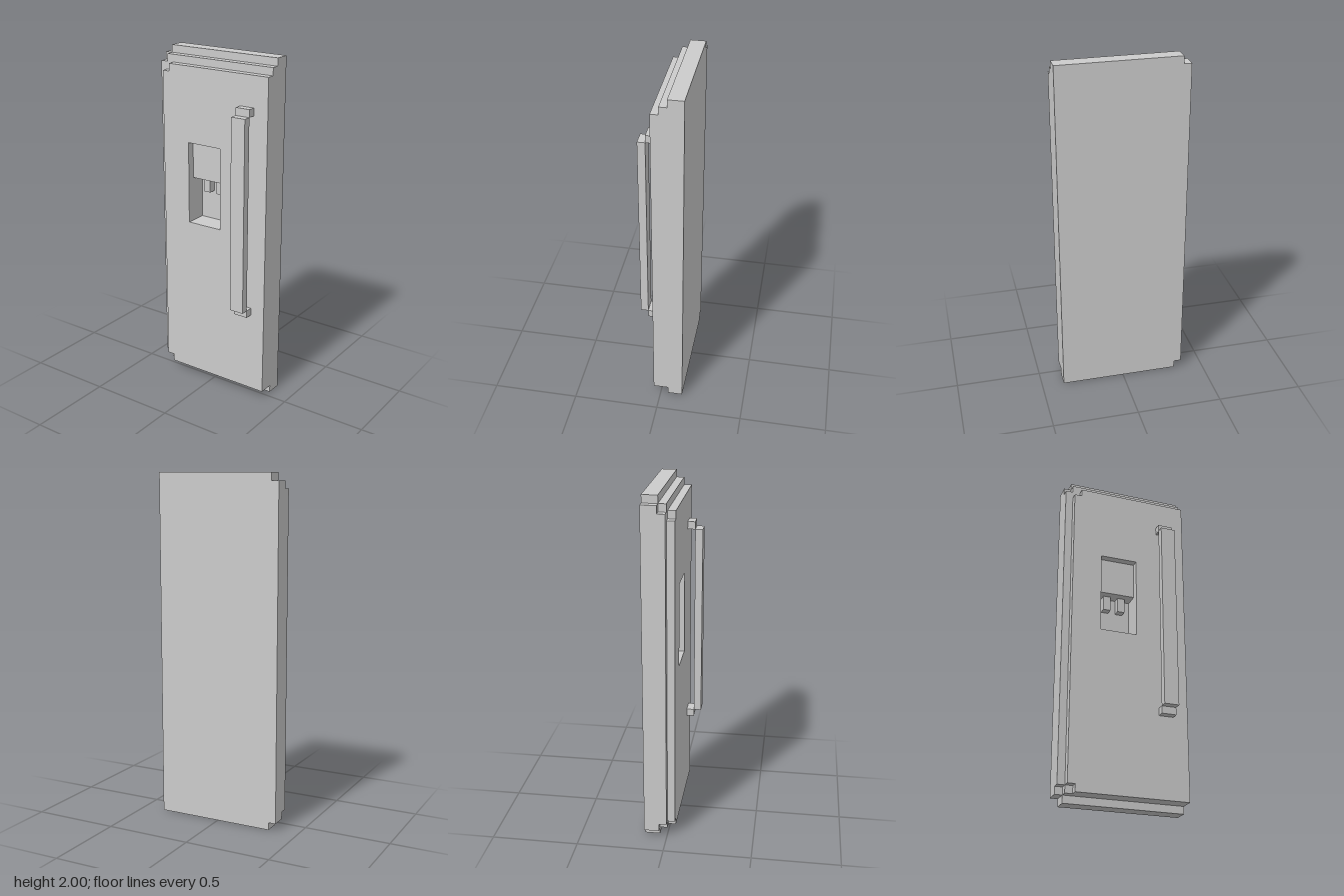
import * as THREE from 'three';

const U = 2 / 46; // grid step: the door is 46 steps tall
const material = new THREE.MeshStandardMaterial({ color: 0xcccccc, flatShading: true });

// Box given by its corner ranges in grid steps
function box(name, [x0, x1], [y0, y1], [z0, z1]) {
  const geometry = new THREE.BoxGeometry((x1 - x0) * U, (y1 - y0) * U, (z1 - z0) * U);
  const mesh = new THREE.Mesh(geometry, material);
  mesh.position.set((x0 + x1) / 2 * U, (y0 + y1) / 2 * U, (z0 + z1) / 2 * U);
  mesh.name = name;
  return mesh;
}

// Slab whose two corners on the hinge side are notched by one step
function slab(name, left, bottom, top, [z0, z1], holeTop) {
  const right = 8.5;
  const points = [
    [left + 1, bottom], [right, bottom], [right, top], [left + 1, top],
    [left + 1, top - 1], [left, top - 1], [left, bottom + 1], [left + 1, bottom + 1],
  ];
  const toVectors = (list) => list.map(([x, y]) => new THREE.Vector2(x * U, y * U));
  const shape = new THREE.Shape(toVectors(points));
  if (holeTop) {
    shape.holes.push(new THREE.Path(toVectors([[-3.5, 23], [-3.5, holeTop], [1.5, holeTop], [1.5, 23]])));
  }
  const geometry = new THREE.ExtrudeGeometry(shape, { depth: (z1 - z0) * U, bevelEnabled: false });
  const mesh = new THREE.Mesh(geometry, material);
  mesh.position.z = z0 * U;
  mesh.name = name;
  return mesh;
}

export function createModel() {
  const model = new THREE.Group();
  model.name = 'refrigeratorDoor';

  // Stepped door, with the dispenser recess cut through the front layers
  const door = new THREE.Group();
  door.name = 'doorPanel';
  door.add(
    slab('backPanel', -8.5, 0, 46, [-3, -2]),
    slab('innerPanel', -8.5, 0, 46, [-2, -1], 29),
    slab('middlePanel', -8.5, 1, 45, [-1, 0], 29),
    slab('frontPanel', -7.5, 1, 44, [0, 1], 34),
  );

  // Two spouts hanging from the roof of the recess
  const dispenser = new THREE.Group();
  dispenser.name = 'dispenser';
  for (const x of [-2.5, -0.5]) dispenser.add(box('spout', [x, x + 1], [27, 29], [-2, -1]));

  // Long bar handle on two brackets
  const handle = new THREE.Group();
  handle.name = 'handle';
  handle.add(box('handleBar', [4.5, 6.5], [13, 39], [2, 3]));
  for (const y of [12, 39]) handle.add(box('handleBracket', [4.5, 6.5], [y, y + 1], [1, 2]));

  model.add(door, dispenser, handle);
  return model;
}
